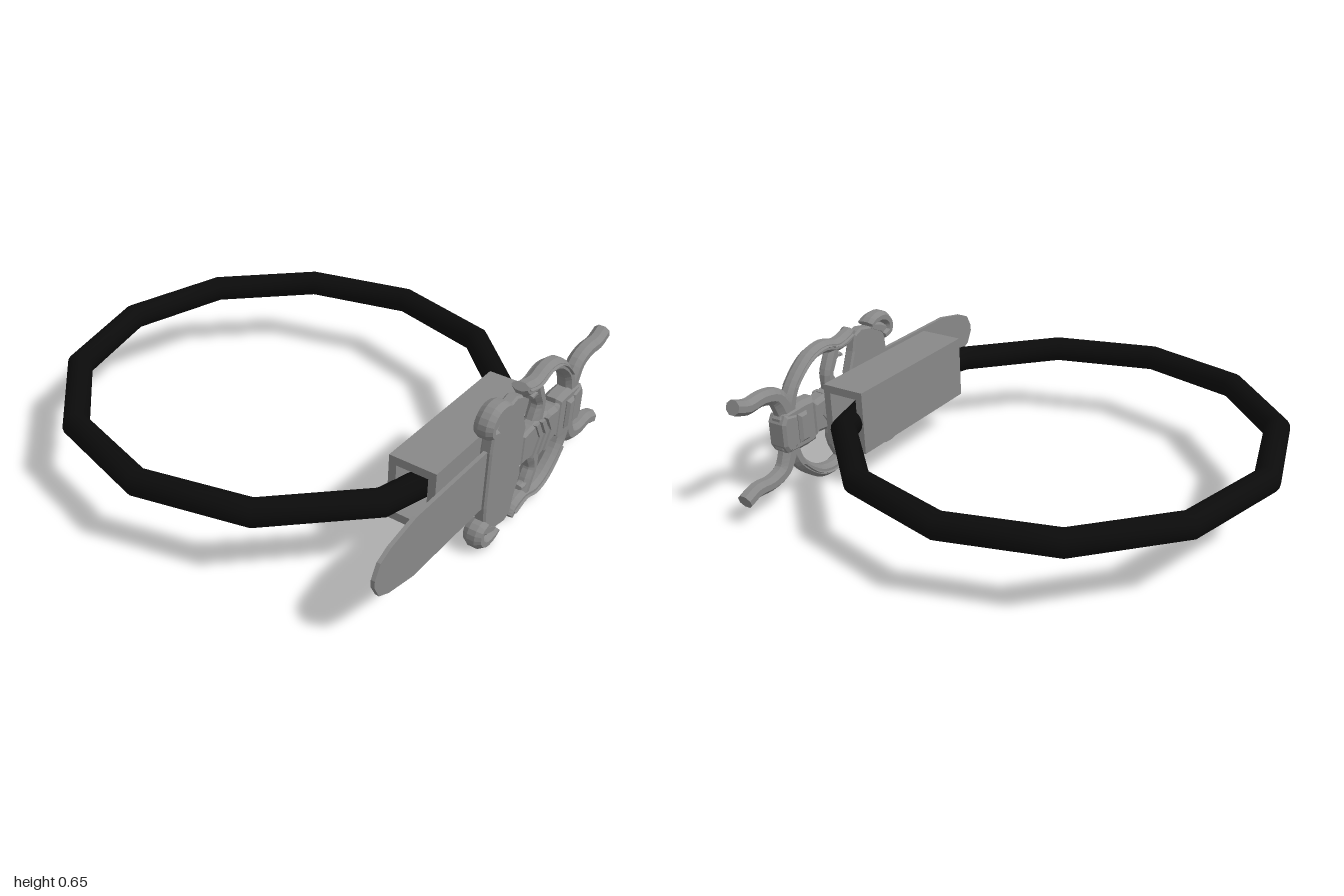
import * as THREE from 'three';

const MID_Y = 0.335, MID_Z = 0.945; // symmetry line and centre plane of the ornament

export function createModel() {
  const model = new THREE.Group();
  const metal = new THREE.MeshStandardMaterial({ color: 0x888888, flatShading: true });
  metal.name = 'grey metal';
  const cord = new THREE.MeshStandardMaterial({ color: 0x0b0b0b });
  cord.name = 'black cord';

  const add = (name, geometry, material = metal, parent = model) => {
    const mesh = new THREE.Mesh(geometry, material);
    mesh.name = name;
    parent.add(mesh);
    return mesh;
  };

  // Flat plate from half an outline [x, distance from the symmetry line]
  const plate = (half, depth, bevel = 0) => {
    const pts = [...half, ...half.slice().reverse().map(([x, d]) => [x, -d])];
    const shape = new THREE.Shape(pts.map(([x, d]) => new THREE.Vector2(x, MID_Y + d)));
    const geo = new THREE.ExtrudeGeometry(shape, {
      depth: depth - 2 * bevel, bevelEnabled: bevel > 0, bevelSize: bevel,
      bevelThickness: bevel, bevelOffset: -bevel, bevelSegments: 1,
    });
    return geo.translate(0, 0, MID_Z - depth / 2 + bevel);
  };

  // Faceted limb swept along [x, distance, radius] points; side is 1 or -1
  const limb = (points, side, depth, sides = 8) => {
    const curve = new THREE.CatmullRomCurve3(
      points.map(([x, d, r]) => new THREE.Vector3(x, MID_Y + side * d, r)));
    const steps = (points.length - 1) * 3, pos = [], index = [];
    for (let i = 0; i <= steps; i++) {
      const p = curve.getPoint(i / steps), t = curve.getTangent(i / steps);
      const len = Math.hypot(t.x, t.y);
      for (let j = 0; j < sides; j++) {
        const a = ((j + 0.5) / sides) * Math.PI * 2, c = Math.cos(a) * p.z;
        pos.push(p.x - (t.y / len) * c, p.y + (t.x / len) * c, MID_Z + Math.sin(a) * depth);
      }
    }
    for (let i = 0; i < steps; i++) {
      for (let j = 0; j < sides; j++) {
        const a = i * sides + j, b = i * sides + (j + 1) % sides;
        index.push(a, b, b + sides, a, b + sides, a + sides);
      }
    }
    const last = steps * sides;
    for (let j = 1; j < sides - 1; j++) {
      index.push(0, j + 1, j, last, last + j, last + j + 1);
    }
    const geo = new THREE.BufferGeometry();
    geo.setAttribute('position', new THREE.Float32BufferAttribute(pos, 3));
    geo.setIndex(index);
    geo.computeVertexNormals();
    return geo;
  };

  // Twelve-sided band
  const ring = new THREE.TorusGeometry(0.9, 0.055, 16, 12);
  ring.rotateX(Math.PI / 2).translate(0, 0.34, -0.05);
  add('band', ring, cord);

  // Hollow rectangular sleeve around the band
  const rect = (P, w, h) => new P().setFromPoints([[-1, -1], [1, -1], [1, 1], [-1, 1]]
    .map(([x, y]) => new THREE.Vector2(x * w / 2, y * h / 2)));
  const section = rect(THREE.Shape, 0.2, 0.28);
  section.holes.push(rect(THREE.Path, 0.135, 0.21));
  const sleeve = new THREE.ExtrudeGeometry(section, { depth: 0.725, bevelEnabled: false });
  sleeve.rotateY(Math.PI / 2).translate(-0.355, 0.34, 0.79);
  add('sleeve', sleeve);

  // Flat blade and the fan-shaped guard behind it
  add('blade', plate([[-0.82, 0.015], [-0.79, 0.07], [-0.73, 0.098], [-0.58, 0.13], [0, 0.13]], 0.016));
  add('guard', plate([[-0.11, 0.125], [-0.1, 0.215], [-0.06, 0.25], [-0.01, 0.275], [0.06, 0.29],
    [0.105, 0.272], [0.122, 0.2], [0.16, 0.105], [0.15, 0.07], [0.19, 0.055]], 0.05, 0.008));

  // Scrollwork, mirrored across the symmetry line
  for (const side of [1, -1]) {
    const half = new THREE.Group();
    half.name = side > 0 ? 'upperScrollwork' : 'lowerScrollwork';
    model.add(half);
    add('curl', limb([[0, 0.285, 0.012], [-0.04, 0.298, 0.022], [-0.095, 0.295, 0.028],
      [-0.133, 0.26, 0.028], [-0.13, 0.222, 0.024], [-0.09, 0.208, 0.022]], side, 0.043), metal, half);
    add('curlCore', limb([[-0.11, 0.23, 0.03], [-0.07, 0.25, 0.035], [-0.01, 0.275, 0.02]], side, 0.028), metal, half);
    add('arm', limb([[0.115, 0.298, 0.018], [0.145, 0.275, 0.033], [0.22, 0.262, 0.03], [0.3, 0.282, 0.03],
      [0.38, 0.272, 0.03], [0.45, 0.23, 0.028], [0.51, 0.17, 0.028], [0.54, 0.1, 0.035],
      [0.55, 0, 0.03]], side, 0.036), metal, half);
    add('armRidge', limb([[0.13, 0.285, 0.01], [0.22, 0.264, 0.01], [0.3, 0.286, 0.01], [0.38, 0.276, 0.01],
      [0.45, 0.234, 0.01], [0.51, 0.174, 0.01]], side, 0.043, 6), metal, half);
    add('horn', limb([[0.55, 0.05, 0.05], [0.572, 0.115, 0.048], [0.61, 0.17, 0.04], [0.69, 0.192, 0.034],
      [0.77, 0.187, 0.034], [0.838, 0.21, 0.033]], side, 0.036), metal, half);
    add('strut', limb([[0.235, 0.255, 0.03], [0.262, 0.2, 0.033], [0.285, 0.15, 0.03],
      [0.27, 0.08, 0.045]], side, 0.032), metal, half);
    add('strutHook', limb([[0.195, 0.212, 0.01], [0.225, 0.218, 0.016], [0.26, 0.2, 0.02]], side, 0.024), metal, half);
  }

  // Grip: neck, waist and stepped block
  add('neck', plate([[0.14, 0.07], [0.22, 0.075], [0.26, 0.09], [0.34, 0.085]], 0.06, 0.012));
  add('waist', plate([[0.32, 0.07], [0.34, 0.082], [0.4, 0.075], [0.43, 0.09]], 0.08, 0.018));
  add('gripBlock', plate([[0.41, 0.1], [0.47, 0.105], [0.59, 0.1], [0.615, 0.07]], 0.08, 0.02));
  add('gripCollar', plate([[0.475, 0.065], [0.53, 0.065]], 0.11, 0.012));
  add('gripEnd', plate([[0.53, 0.07], [0.6, 0.085], [0.62, 0.05]], 0.095, 0.012));

  // Raised chevrons on both faces of the grip
  for (let i = 0; i < 3; i++) {
    const x = 0.225 + i * 0.038, h = 0.075;
    const shape = new THREE.Shape([[x, h], [x + 0.045, 0], [x, -h], [x + 0.028, -h], [x + 0.073, 0], [x + 0.028, h]]
      .map(([px, d]) => new THREE.Vector2(px, MID_Y + d)));
    const geo = new THREE.ExtrudeGeometry(shape, { depth: 0.075 + i * 0.01, bevelEnabled: false });
    add('chevron', geo.translate(0, 0, MID_Z - 0.0375 - i * 0.005));
  }
  return model;
}
